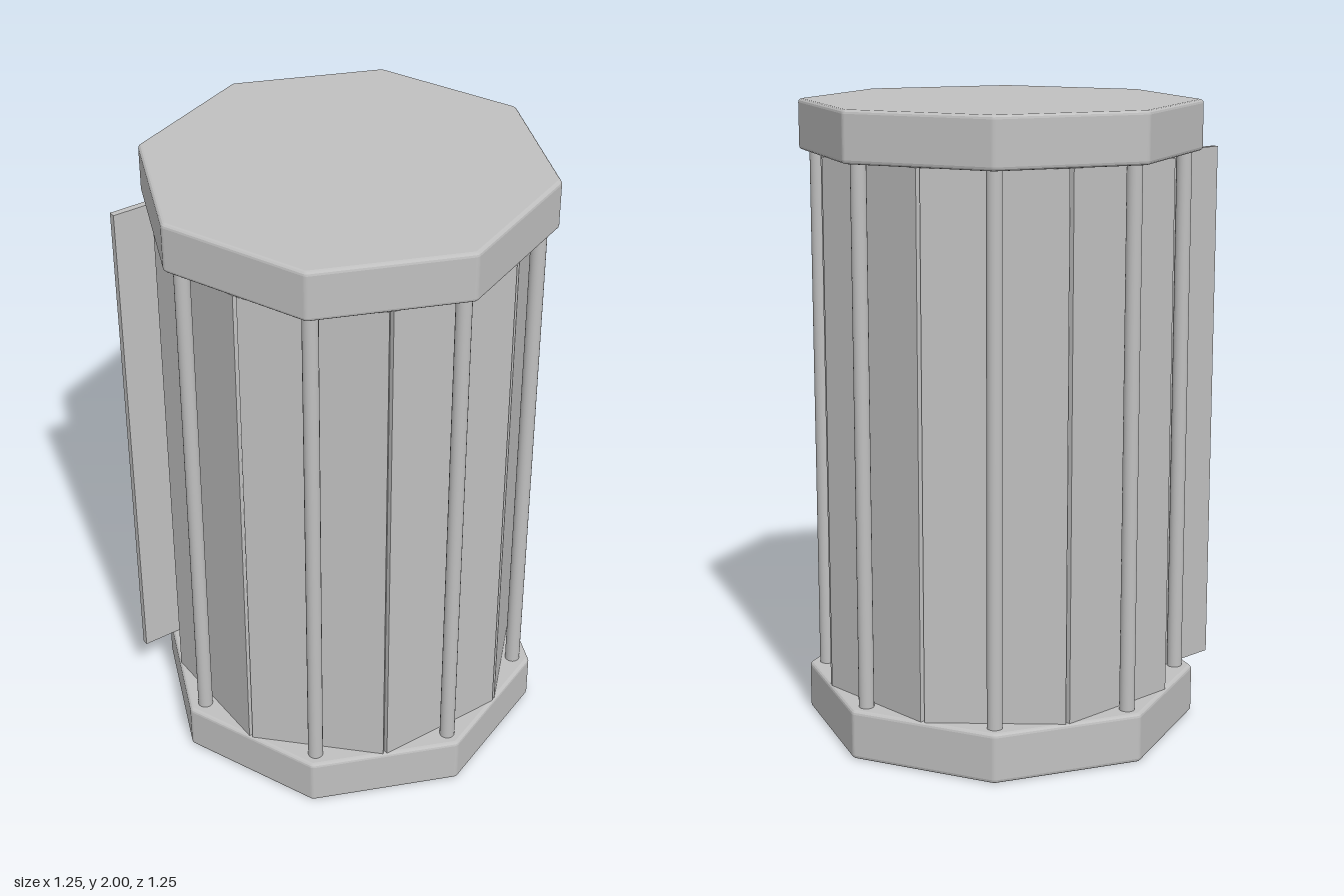
import * as THREE from 'three';

const SIDES = 8;
const STEP = (Math.PI * 2) / SIDES;
const HEIGHT = 2;
const SLAB = 0.158;              // thickness of base and roof
const WALL_HEIGHT = HEIGHT - 2 * SLAB;

// Octagonal slab with softly rounded corners and bevelled rims
function slabGeometry() {
  const bevel = 0.012;
  const shape = new THREE.Shape();
  for (let i = 0; i < SIDES; i++) {
    const a = i * STEP;
    shape.absarc(0.605 * Math.cos(a), 0.605 * Math.sin(a), 0.01, a - STEP / 2, a + STEP / 2, false);
  }
  const geometry = new THREE.ExtrudeGeometry(shape, {
    depth: SLAB - 2 * bevel,
    bevelSize: bevel,
    bevelThickness: bevel,
    bevelSegments: 3,
    curveSegments: 4,
  });
  geometry.translate(0, 0, bevel);
  geometry.rotateX(-Math.PI / 2);
  return geometry;
}

export function createModel() {
  const model = new THREE.Group();
  model.name = 'octagonalBooth';
  const grey = new THREE.MeshStandardMaterial({ color: 0xc0c0c0 });
  grey.name = 'plain grey';

  const add = (name, geometry, x, y, z, turn = 0) => {
    const mesh = new THREE.Mesh(geometry, grey);
    mesh.name = name;
    mesh.position.set(x, y, z);
    mesh.rotation.y = turn;
    model.add(mesh);
  };

  // Base and roof
  const slab = slabGeometry();
  add('base', slab, 0, 0, 0);
  add('roof', slab, 0, HEIGHT - SLAB, 0);

  // Ring of wall panels; the back one at -x is a door pivoted open about its centre
  const panel = new THREE.BoxGeometry(0.43, WALL_HEIGHT, 0.021);
  const post = new THREE.CylinderGeometry(0.024, 0.024, WALL_HEIGHT + 0.02, 20);
  const doorIndex = 5;
  for (let i = 0; i < SIDES; i++) {
    const a = i * STEP;
    const sx = Math.sin(a), sz = Math.cos(a);
    const isDoor = i === doorIndex;
    add(isDoor ? 'pivotDoor' : 'wallPanel', panel, 0.525 * sx, HEIGHT / 2, 0.525 * sz, isDoor ? 0 : a);
    // Slim post in front of each panel, under the slab corner
    add('post', post, 0.571 * sx, HEIGHT / 2, 0.571 * sz);
  }

  return model;
}
